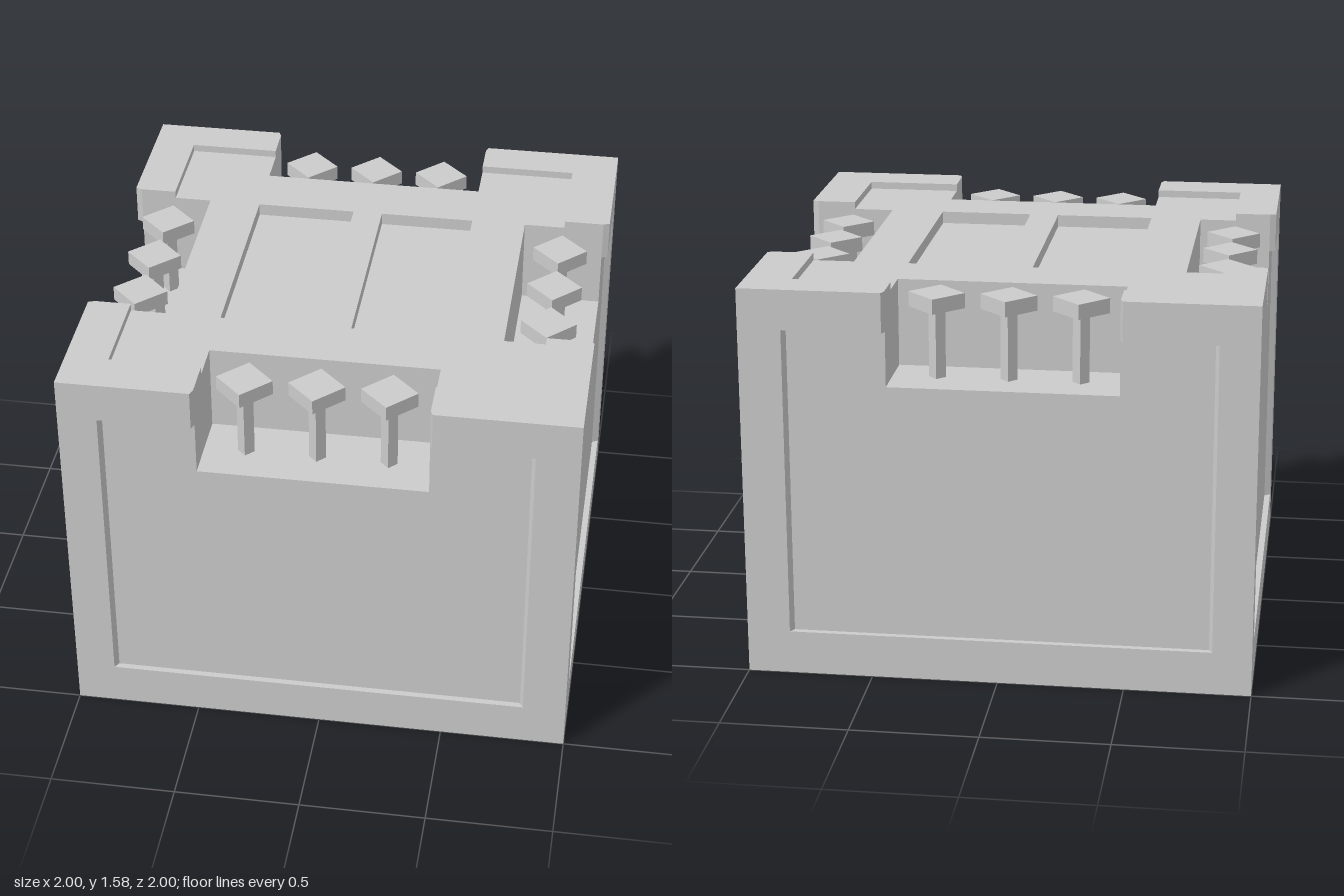
import * as THREE from 'three';

const material = new THREE.MeshStandardMaterial({ color: 0xcccccc, flatShading: true });

// Depth of the side panels, measured as the distance of their face from the axis
const FACE = 0.975;

// One entry per side, counter-clockwise in plan: t runs along the side, d points outward
const sides = [
  { at: (t, d) => [t, d], dir: -1, panel: [0.83, -0.845], notch: [0.43, -0.47], wall: 0.66 },
  { at: (t, d) => [-d, t], dir: -1, panel: [0.83, -0.85], notch: [0.43, -0.44], wall: 0.68 },
  { at: (t, d) => [t, -d], dir: 1, panel: [-0.845, 0.83], notch: [-0.47, 0.43], wall: 0.68 },
  { at: (t, d) => [d, t], dir: 1, panel: [-0.85, 0.83], notch: [-0.44, 0.43], wall: 0.65 },
];

const toShape = (points) => new THREE.Shape(points.map(([x, z]) => new THREE.Vector2(x, z)));

// Plan outline of the block, optionally with inset panels and notches
function outline(hasPanel, hasNotch) {
  const points = [];
  for (const { at, dir, panel: [p0, p1], notch: [n0, n1], wall } of sides) {
    points.push(at(-dir, 1));
    if (hasPanel) points.push(at(p0, 1), at(p0 + 0.015 * dir, FACE));
    if (hasNotch) {
      if (!hasPanel) points.push(at(n0 - 0.01 * dir, 1));
      points.push(at(n0, FACE), at(n0, wall), at(n1, wall), at(n1, FACE));
      if (!hasPanel) points.push(at(n1 + 0.01 * dir, 1));
    }
    if (hasPanel) points.push(at(p1 - 0.015 * dir, FACE), at(p1, 1));
  }
  return toShape(points);
}

// Upright slab with the given plan, between two heights
function slab(name, shape, bottom, top) {
  const geometry = new THREE.ExtrudeGeometry(shape, { depth: top - bottom, bevelEnabled: false });
  geometry.rotateX(Math.PI / 2);
  const mesh = new THREE.Mesh(geometry, material);
  mesh.name = name;
  mesh.position.y = top;
  return mesh;
}

// Square bar turned by 45 degrees; r is half its diagonal
function diamondBar(name, r, bottom, top) {
  const mesh = new THREE.Mesh(new THREE.CylinderGeometry(r, r, top - bottom, 4), material);
  mesh.name = name;
  mesh.position.y = (bottom + top) / 2;
  return mesh;
}

function peg(x, z) {
  const group = new THREE.Group();
  group.name = 'peg';
  group.add(diamondBar('pegPost', 0.033, 1.2, 1.48), diamondBar('pegCap', 0.11, 1.48, 1.54));
  group.position.set(x, 0, z);
  return group;
}

export function createModel() {
  const model = new THREE.Group();
  model.name = 'notchedBlock';

  // Body, stacked from the base up to the recessed top
  model.add(
    slab('base', outline(false, false), 0, 0.175),
    slab('panelledBody', outline(true, false), 0.175, 1.2),
    slab('notchedBody', outline(true, true), 1.2, 1.42),
    slab('upperBody', outline(false, true), 1.42, 1.5),
  );

  // Top plate with two sunken rectangles
  const plate = outline(false, true);
  for (const [x0, x1] of [[-0.47, -0.07], [0.05, 0.43]]) {
    plate.holes.push(toShape([[x0, -0.44], [x0, 0.43], [x1, 0.43], [x1, -0.44]]));
  }
  model.add(slab('topPlate', plate, 1.5, 1.55));

  // Raised L-shaped rim on every corner
  for (const sx of [-1, 1]) {
    for (const sz of [-1, 1]) {
      const [ix, nx] = sx > 0 ? [0.815, 0.43] : [-0.83, -0.47];
      const [iz, nz] = sz > 0 ? [0.82, 0.43] : [-0.84, -0.44];
      const rim = toShape([
        [sx, sz], [nx + 0.01 * -sx, sz].map((v, i) => (i ? v : nx + 0.01 * sx)),
        [nx, FACE * sz], [nx, iz], [ix, iz], [ix, nz],
        [FACE * sx, nz], [sx, nz + 0.01 * sz],
      ]);
      model.add(slab('cornerRim', rim, 1.55, 1.58));
    }
  }

  // Three pegs standing in each notch
  for (const x of [-0.305, -0.025, 0.255]) model.add(peg(x, 0.815), peg(x, -0.815));
  for (const z of [-0.285, -0.01, 0.26]) model.add(peg(-0.83, z), peg(0.81, z));

  return model;
}
